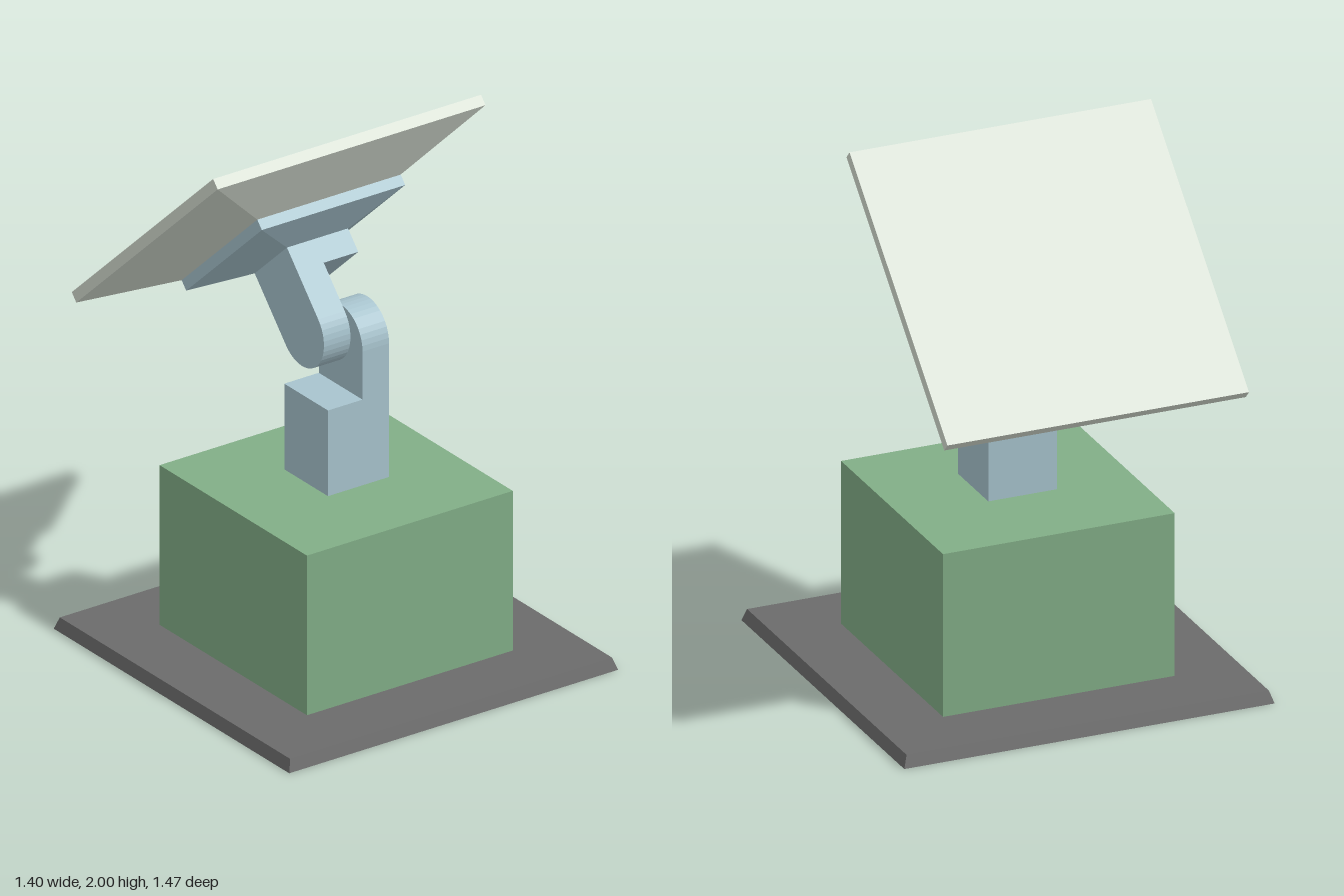
import * as THREE from 'three';

const material = (name, color) => {
  const m = new THREE.MeshStandardMaterial({ color });
  m.name = name;
  return m;
};

export function createModel() {
  const charcoal = material('charcoal', 0x6b6b6b);
  const green = material('green', 0x82ae87);
  const blue = material('steelBlue', 0xa8c4ce);
  const pale = material('paleGrey', 0xd6ded2);

  const model = new THREE.Group();
  model.name = 'tiltingPanelStand';

  const add = (parent, name, geometry, mat, x = 0, y = 0, z = 0) => {
    const mesh = new THREE.Mesh(geometry, mat);
    mesh.name = name;
    mesh.position.set(x, y, z);
    parent.add(mesh);
    return mesh;
  };

  // Square slab or truncated pyramid between two heights, given half widths
  const frustum = (bottom, top, y0, y1) => {
    const g = new THREE.CylinderGeometry(top * Math.SQRT2, bottom * Math.SQRT2, y1 - y0, 4)
      .rotateY(Math.PI / 4).translate(0, (y0 + y1) / 2, 0).toNonIndexed();
    g.computeVertexNormals();
    return g;
  };

  // Hinge half: a square block with a round-ended cheek on its +x side
  const R = 0.13, GAP = 0.017, REACH = 0.185;
  const hingeHalf = (name, h) => {
    const group = new THREE.Group();
    group.name = name;
    add(group, name + 'Block', new THREE.BoxGeometry(2 * R, h, 2 * R), blue, 0, h / 2, 0);
    const s = new THREE.Shape();
    s.moveTo(-R, h);
    s.lineTo(R, h);
    s.lineTo(R, h + REACH);
    s.absarc(0, h + REACH, R, 0, Math.PI, false);
    s.lineTo(-R, h);
    const cheek = new THREE.ExtrudeGeometry(s, { depth: R - GAP, bevelEnabled: false, curveSegments: 10 });
    cheek.rotateY(Math.PI / 2);
    add(group, name + 'Cheek', cheek, blue, GAP, 0, 0);
    return group;
  };

  // Base plate with sloped rim, and the body on it
  add(model, 'basePlate', frustum(0.7, 0.685, 0, 0.045), charcoal, 0, 0, 0.036);
  add(model, 'body', new THREE.BoxGeometry(0.876, 0.615, 0.876), green, 0, 0.3525, 0.037);

  // Swivel post and lower hinge half
  add(model, 'swivelPost', new THREE.CylinderGeometry(0.05, 0.05, 0.04, 12), blue, 0, 0.67, 0.04);
  const lower = hingeHalf('lowerArm', 0.33);
  lower.position.set(0, 0.68, 0.04);
  model.add(lower);

  // Hinge pin between the two cheeks
  const pin = new THREE.CylinderGeometry(0.05, 0.05, 0.06, 12).rotateZ(Math.PI / 2);
  add(model, 'hingePin', pin, blue, 0, 1.23, 0.025);

  // Tilted head: local y runs from the pivot out through the panel
  const head = new THREE.Group();
  head.name = 'tiltingHead';
  head.position.set(0, 1.25, 0.016);
  head.rotation.x = -THREE.MathUtils.degToRad(42.5);
  model.add(head);

  const upper = hingeHalf('upperArm', 0.09);
  upper.rotation.z = Math.PI;
  upper.position.y = REACH + 0.09;
  head.add(upper);

  // Mounting flange, then the panel with its tapered rear housing
  add(head, 'flangeTaper', frustum(R, 0.305, 0.275, 0.325), blue);
  add(head, 'flangePlate', frustum(0.305, 0.305, 0.325, 0.365), blue);
  add(head, 'panelHousing', frustum(0.305, 0.57, 0.365, 0.455), pale);
  add(head, 'panelPlate', frustum(0.57, 0.57, 0.455, 0.495), pale);

  return model;
}
